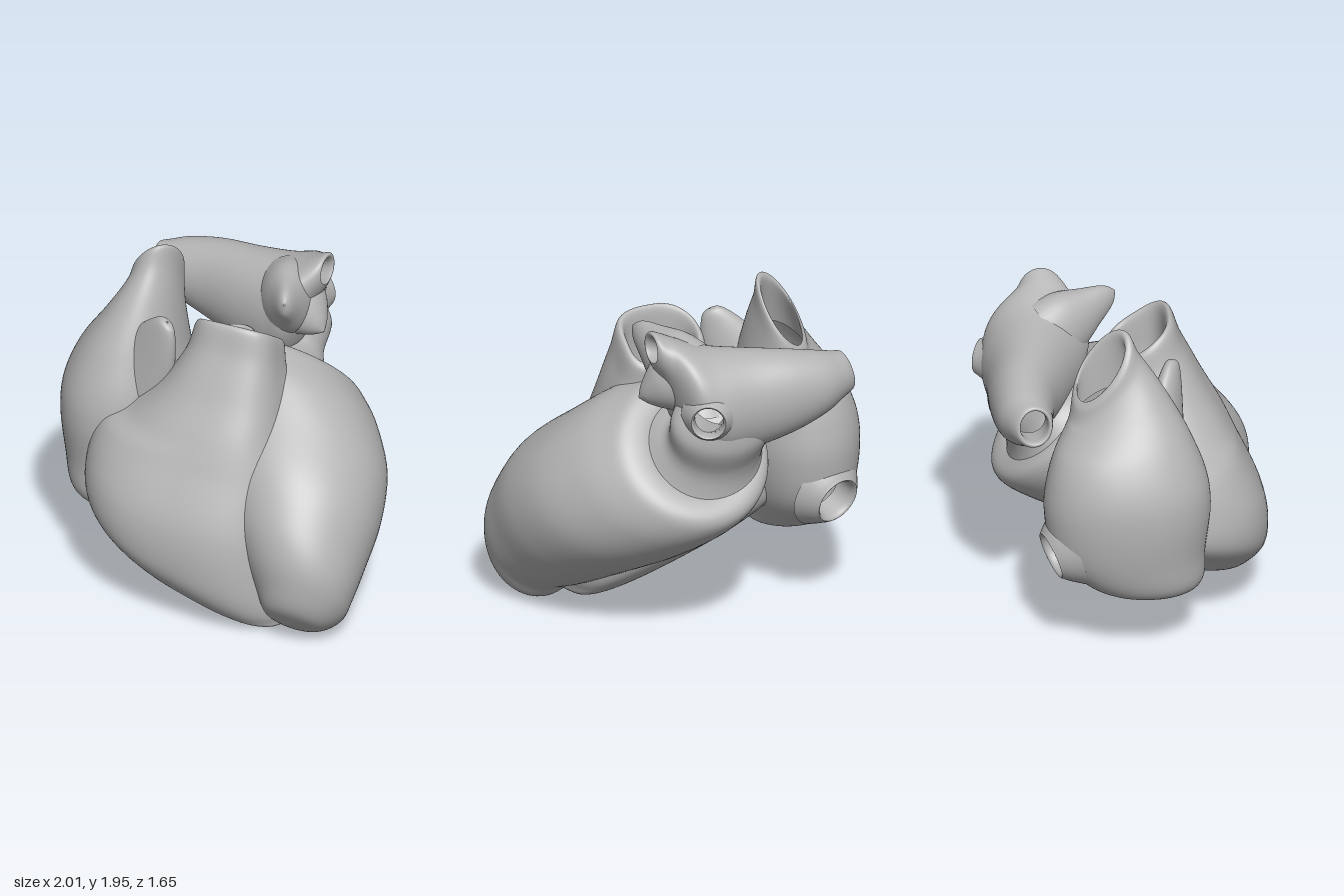
import * as THREE from 'three';

const V = (x, y, z) => new THREE.Vector3(x, y, z);
const tissue = new THREE.MeshStandardMaterial({ color: 0xb4b4b4, side: THREE.DoubleSide });
tissue.name = 'plain grey';

// Catmull-Rom blend between four numbers
function blend(a, b, c, d, t) {
  const m = (c - a) / 2, n = (d - b) / 2;
  return ((2 * b - 2 * c + m + n) * t + (3 * c - 3 * b - 2 * m - n)) * t * t + m * t + b;
}

// Smooth skin over rings [h, a, ra, b, rb, slopeA, slopeB]:
// h runs along the axis, a and b place the ring on e1 and e2.
function loft(name, rings, opt = {}) {
  const { origin = V(0, 0, 0), axis = V(0, 1, 0), e1 = V(1, 0, 0), e2 = V(0, 0, 1),
    power = 2, square = 0, holes = [], seg = 72, steps = 8 } = opt;
  const pts = [], at = (i) => rings[Math.min(Math.max(i, 0), rings.length - 1)];
  const total = (rings.length - 1) * steps;
  for (let i = 0; i <= total; i++) {
    const k = Math.min(Math.floor(i / steps), rings.length - 2), t = i / steps - k;
    const [h, a, ra, b, rb, sa, sb] = [0, 1, 2, 3, 4, 5, 6].map((q) =>
      blend(at(k - 1)[q] ?? 0, at(k)[q] ?? 0, at(k + 1)[q] ?? 0, at(k + 2)[q] ?? 0, t));
    for (let j = 0; j < seg; j++) {
      const w = (j / seg) * Math.PI * 2, c = Math.cos(w), s = Math.sin(w);
      const p = power + square * (1 + c) / 2;
      const r = (Math.abs(c) ** p + Math.abs(s) ** p) ** (-1 / p);
      const u = ra * r * c, v = rb * r * s;
      pts.push(origin.clone().addScaledVector(e1, a + u).addScaledVector(e2, b + v)
        .addScaledVector(axis, h + sa * u + sb * v));
    }
  }
  const index = [];
  for (let i = 0; i < total; i++) {
    for (let j = 0; j < seg; j++) {
      const a = i * seg + j, b = i * seg + (j + 1) % seg, c = a + seg, d = b + seg;
      const mid = pts[a].clone().add(pts[d]).multiplyScalar(0.5);
      if (holes.some(([q, r]) => q.distanceTo(mid) < r)) continue;
      index.push(a, c, b, b, c, d);
    }
  }
  const geo = new THREE.BufferGeometry().setFromPoints(pts);
  geo.setIndex(index);
  geo.computeVertexNormals();
  const mesh = new THREE.Mesh(geo, tissue);
  mesh.name = name;
  return mesh;
}

// Round-section limb along a direction; profile holds [distance, radius, radius2]
function limb(name, origin, dir, profile) {
  const axis = dir.clone().normalize();
  const e2 = V(0, 1, 0).addScaledVector(axis, -axis.y).normalize();
  const e1 = axis.clone().cross(e2);
  return loft(name, profile.map(([h, r, r2 = r]) => [h, 0, r, 0, r2]), { origin, axis, e1, e2, seg: 40 });
}

// Flared vessel mouth with a rolled lip
const mouth = (name, p, dir, r, len) => limb(name, p, dir,
  [[-0.07, r * 1.7], [0, r * 1.3], [len, r * 1.1], [len + 0.01, r], [len - 0.02, r * 0.88], [-0.1, r * 0.85]]);

export function createModel() {
  const model = new THREE.Group();
  model.name = 'heart';

  // Front chamber, rising into an open outflow neck
  model.add(loft('rightVentricle', [
    [0.17, 0, 0.02, 0.35, 0.02, -0.35, -0.2],
    [0.18, 0.04, 0.47, 0.33, 0.28, -0.35, -0.2],
    [0.28, 0, 0.58, 0.28, 0.44, -0.35, -0.2],
    [0.45, -0.07, 0.64, 0.26, 0.54, -0.3, -0.15],
    [0.7, -0.09, 0.62, 0.25, 0.54, -0.2, -0.1],
    [0.95, -0.08, 0.57, 0.2, 0.46, -0.1, 0],
    [1.1, -0.02, 0.46, 0.18, 0.4, 0, 0],
    [1.25, 0.05, 0.36, 0.14, 0.32, 0, 0.2],
    [1.42, 0.09, 0.28, 0.13, 0.22, 0, 0.5],
    [1.57, 0.1, 0.245, 0.1, 0.19, 0, 0.65],
    [1.565, 0.1, 0.205, 0.1, 0.15, 0, 0.65],
    [1.35, 0.1, 0.19, 0.11, 0.14, 0, 0.4],
    [1.15, 0.1, 0.15, 0.12, 0.12, 0, 0],
  ], { power: 2.1, square: 1.1 }));

  // Egg-shaped chamber leaning back from the apex
  const lean = { axis: V(0, 0.69, -0.72), e1: V(1, 0, 0), e2: V(0, 0.72, 0.69) };
  model.add(loft('leftVentricle', [
    [-0.41, 0.68, 0.01, 0.52, 0.01],
    [-0.38, 0.69, 0.16, 0.53, 0.17],
    [-0.28, 0.7, 0.25, 0.54, 0.29],
    [-0.15, 0.67, 0.32, 0.59, 0.35],
    [0.03, 0.6, 0.4, 0.6, 0.42],
    [0.3, 0.5, 0.5, 0.59, 0.48],
    [0.6, 0.36, 0.57, 0.55, 0.51],
    [0.85, 0.24, 0.54, 0.53, 0.52],
    [1, 0.16, 0.48, 0.51, 0.49],
    [1.07, 0.13, 0.41, 0.51, 0.44],
    [1.08, 0.12, 0.3, 0.51, 0.34],
    [1.04, 0.12, 0.2, 0.51, 0.22],
  ], lean));
  model.add(mouth('aorticMouth', V(-0.03, 1.28, -0.13), V(-0.05, 1, 0.1), 0.12, 0.1));

  // Side chamber, open at a slanted upper mouth and a lower rear mouth
  const lowMouth = V(-0.72, 0.66, -0.43);
  model.add(loft('rightAtrium', [
    [0.36, -0.6, 0.02, 0.13, 0.02],
    [0.38, -0.62, 0.18, 0.11, 0.22],
    [0.46, -0.66, 0.25, 0.06, 0.34],
    [0.65, -0.66, 0.31, -0.02, 0.43],
    [0.9, -0.65, 0.35, -0.03, 0.47],
    [1.1, -0.64, 0.34, -0.03, 0.45],
    [1.3, -0.61, 0.28, -0.05, 0.38, 0, 0.1],
    [1.5, -0.56, 0.2, -0.09, 0.27, 0.2, 0.4],
    [1.62, -0.53, 0.15, -0.14, 0.2, 0.5, 0.8],
    [1.72, -0.52, 0.135, -0.16, 0.165, 0.8, 1],
    [1.715, -0.52, 0.11, -0.165, 0.135, 0.8, 1],
    [1.5, -0.56, 0.14, -0.13, 0.19, 0.3, 0.4],
  ], { power: 2.1, holes: [[lowMouth, 0.15]] }));
  model.add(mouth('lowerVeinMouth', lowMouth, V(-0.25, -0.25, -0.8), 0.135, 0.03));
  model.add(limb('rightAuricle', V(-0.56, 1.0, 0.13), V(0.29, 0.62, 0.13),
    [[0, 0.18, 0.24], [0.22, 0.13, 0.23], [0.42, 0.09, 0.18], [0.58, 0.06, 0.12], [0.68, 0.035, 0.06], [0.7, 0.005]]));

  // Rear chamber lying crosswise, with vein mouths at both ends
  const backMouth = V(0.2, 1.42, -0.77);
  model.add(loft('leftAtrium', [
    [-0.6, 1.47, 0.09, -0.58, 0.09],
    [-0.72, 1.49, 0.09, -0.56, 0.08, 0.2, -0.1],
    [-0.735, 1.49, 0.115, -0.56, 0.1, 0.2, -0.1],
    [-0.67, 1.48, 0.14, -0.58, 0.13, 0.1, 0],
    [-0.55, 1.46, 0.19, -0.6, 0.16],
    [-0.35, 1.44, 0.25, -0.59, 0.19],
    [-0.1, 1.42, 0.3, -0.54, 0.24],
    [0.1, 1.43, 0.32, -0.5, 0.29],
    [0.24, 1.53, 0.27, -0.46, 0.29],
    [0.33, 1.69, 0.15, -0.43, 0.17],
    [0.39, 1.76, 0.105, -0.43, 0.11],
    [0.39, 1.76, 0.075, -0.43, 0.08],
    [0.27, 1.7, 0.06, -0.44, 0.07],
  ].map(([h, a, ra, b, rb, sa, sb]) => [h, a, ra, -b, rb, sa, sb]),
  { axis: V(1, 0, 0), e1: V(0, 1, 0), e2: V(0, 0, -1), holes: [[backMouth, 0.1]] }));
  model.add(mouth('rearVeinMouth', backMouth.clone().add(V(-0.01, 0, 0.02)), V(0.45, 0, -0.9), 0.095, 0.04));
  model.add(loft('leftAtriumNeck', [
    [1.0, 0.08, 0.38, 0.5, 0.4],
    [1.1, 0.06, 0.32, 0.51, 0.3],
    [1.2, 0.04, 0.29, 0.51, 0.23],
    [1.37, 0.04, 0.3, 0.56, 0.22],
    [1.5, 0.04, 0.2, 0.62, 0.15],
  ], lean));
  model.add(limb('leftAuricle', V(0.17, 1.56, -0.42), V(0.16, 0.18, 0.41),
    [[0, 0.18, 0.22], [0.15, 0.14, 0.2], [0.3, 0.085, 0.13], [0.42, 0.04, 0.07], [0.47, 0.005]]));
  model.add(limb('leftAuricleFold', V(0.2, 1.55, -0.4), V(0.23, -0.12, 0.08),
    [[0, 0.2], [0.12, 0.15], [0.22, 0.07], [0.27, 0.005]]));

  return model;
}
